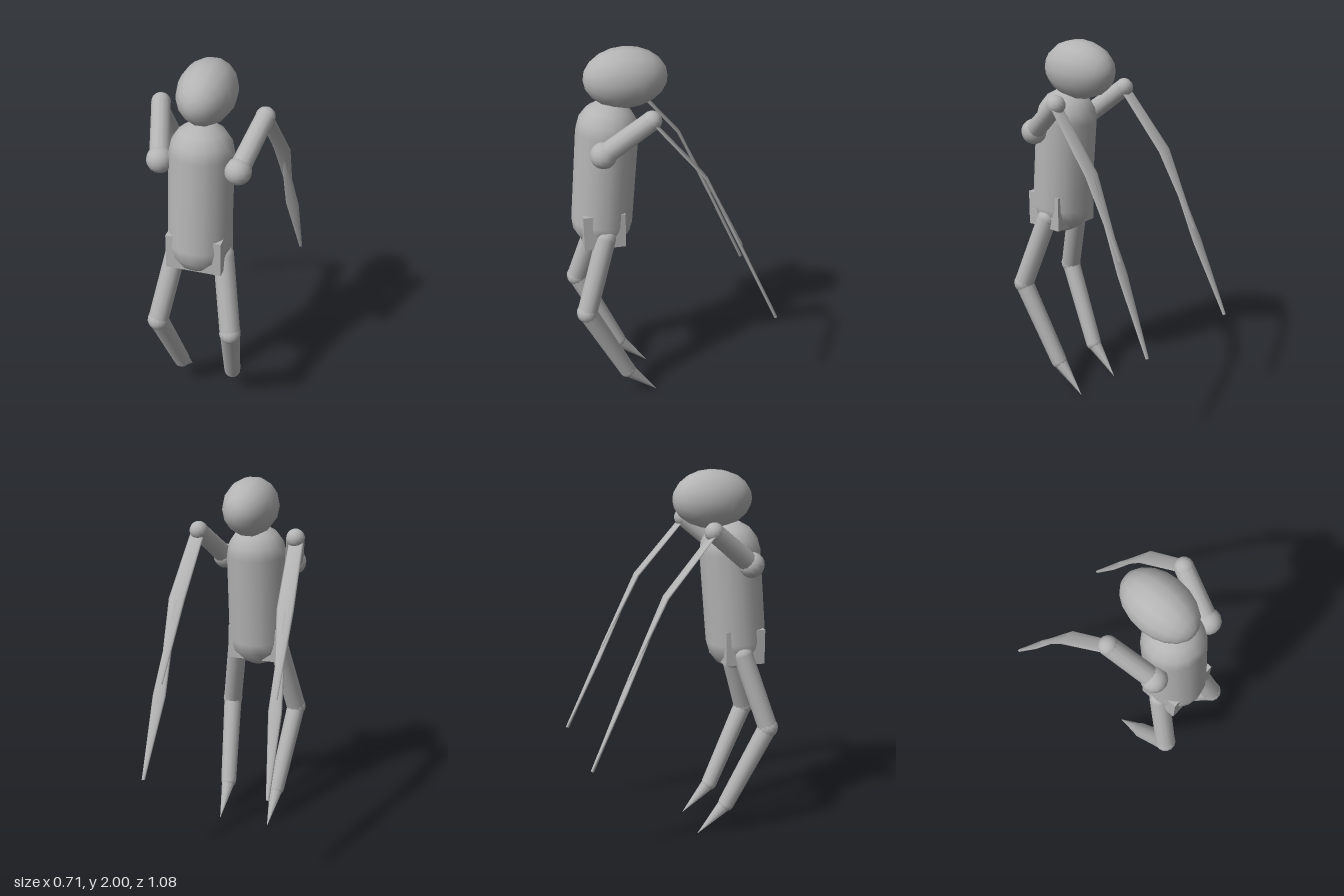
import * as THREE from 'three';

const grey = new THREE.MeshStandardMaterial({ color: 0xb4b4b4 });
grey.name = 'plain grey';

const V = (x, y, z) => new THREE.Vector3(x, y, z);

function add(parent, name, geometry) {
  const mesh = new THREE.Mesh(geometry, grey);
  mesh.name = name;
  parent.add(mesh);
  return mesh;
}

// Round bar from a to b with its own radius at each end
function bar(parent, name, a, b, ra, rb, sides = 12) {
  const d = b.clone().sub(a);
  const mesh = add(parent, name, new THREE.CylinderGeometry(rb, ra, d.length(), sides));
  mesh.position.copy(a).addScaledVector(d, 0.5);
  mesh.quaternion.setFromUnitVectors(V(0, 1, 0), d.normalize());
  return mesh;
}

function ball(parent, name, p, r) {
  const mesh = add(parent, name, new THREE.SphereGeometry(r, 14, 10));
  mesh.position.copy(p);
  return mesh;
}

// Flat blade lofted through sections [x, y, z, half width]; lens-shaped cross-section
function bladeGeometry(sections, thick, sides = 10) {
  const pts = sections.map(([x, y, z]) => V(x, y, z));
  const X = V(1, 0, 0), pos = [], idx = [];
  sections.forEach((s, i) => {
    const d = pts[Math.min(i + 1, pts.length - 1)].clone().sub(pts[Math.max(i - 1, 0)]);
    const n = d.setX(0).normalize().cross(X);
    for (let j = 0; j < sides; j++) {
      const a = (j / sides) * Math.PI * 2;
      const p = pts[i].clone().addScaledVector(X, s[3] * Math.cos(a)).addScaledVector(n, thick * Math.sin(a));
      pos.push(p.x, p.y, p.z);
    }
  });
  const last = pts.length - 1;
  for (let i = 0; i < last; i++) {
    for (let j = 0; j < sides; j++) {
      const k = (j + 1) % sides;
      const a = i * sides + j, b = i * sides + k;
      idx.push(a, b, b + sides, a, b + sides, a + sides);
    }
  }
  // End caps
  for (let j = 1; j < sides - 1; j++) {
    const e = last * sides;
    idx.push(0, j + 1, j, e, e + j, e + j + 1);
  }
  const g = new THREE.BufferGeometry();
  g.setAttribute('position', new THREE.Float32BufferAttribute(pos, 3));
  g.setIndex(idx);
  g.computeVertexNormals();
  return g;
}

function buildArm(side) {
  const arm = new THREE.Group();
  arm.name = side > 0 ? 'leftArm' : 'rightArm';
  const shoulder = V(0.2 * side, 1.52, 0.368), elbow = V(0.27 * side, 1.712, 0.137);
  ball(arm, 'shoulder', shoulder, 0.068);
  bar(arm, 'upperArm', shoulder, elbow, 0.053, 0.049);
  ball(arm, 'elbow', elbow, 0.05);
  // Two overlapping flat blades sweeping down and back
  add(arm, 'upperBlade', bladeGeometry([
    [0.275 * side, 1.7, 0.13, 0.04],
    [0.297 * side, 1.4, -0.125, 0.046],
    [0.315 * side, 0.99, -0.325, 0.01],
  ], 0.009));
  add(arm, 'lowerBlade', bladeGeometry([
    [0.298 * side, 1.395, -0.13, 0.01],
    [0.318 * side, 0.93, -0.345, 0.037],
    [0.341 * side, 0.525, -0.53, 0.009],
  ], 0.009));
  return arm;
}

function buildLeg(side) {
  const leg = new THREE.Group();
  leg.name = side > 0 ? 'leftLeg' : 'rightLeg';
  const hip = V(0.125 * side, 1.01, 0.358), knee = V(0.198 * side, 0.61, 0.483);
  const ankle = V(0.15 * side, 0.165, 0.265), toe = V(0.145 * side, 0, 0.1);
  ball(leg, 'hip', hip, 0.055);
  bar(leg, 'thigh', hip, knee, 0.055, 0.055);
  ball(leg, 'knee', knee, 0.057);
  bar(leg, 'shin', knee, ankle, 0.052, 0.045);
  ball(leg, 'ankle', ankle, 0.045);
  bar(leg, 'foot', ankle, toe, 0.042, 0.001, 8);
  return leg;
}

export function createModel() {
  const model = new THREE.Group();
  model.name = 'figure';

  // Egg-shaped head with its poles facing front and back
  const headGeo = new THREE.SphereGeometry(1, 14, 10);
  headGeo.rotateX(Math.PI / 2);
  headGeo.scale(0.146, 0.156, 0.215);
  add(model, 'head', headGeo).position.set(0, 1.844, 0.215);

  // Capsule torso leaning back slightly
  const top = V(0, 1.565, 0.316), bottom = V(0, 1.075, 0.357);
  const axis = top.clone().sub(bottom);
  const torso = add(model, 'torso', new THREE.CapsuleGeometry(0.164, axis.length(), 4, 16));
  torso.position.copy(bottom).addScaledVector(axis, 0.5);
  torso.quaternion.setFromUnitVectors(V(0, 1, 0), axis.normalize());

  // Square pelvis whose corners stick out of the torso
  add(model, 'pelvis', new THREE.BoxGeometry(0.29, 0.19, 0.22)).position.set(0, 1.055, 0.365);

  for (const side of [1, -1]) model.add(buildArm(side), buildLeg(side));
  return model;
}
